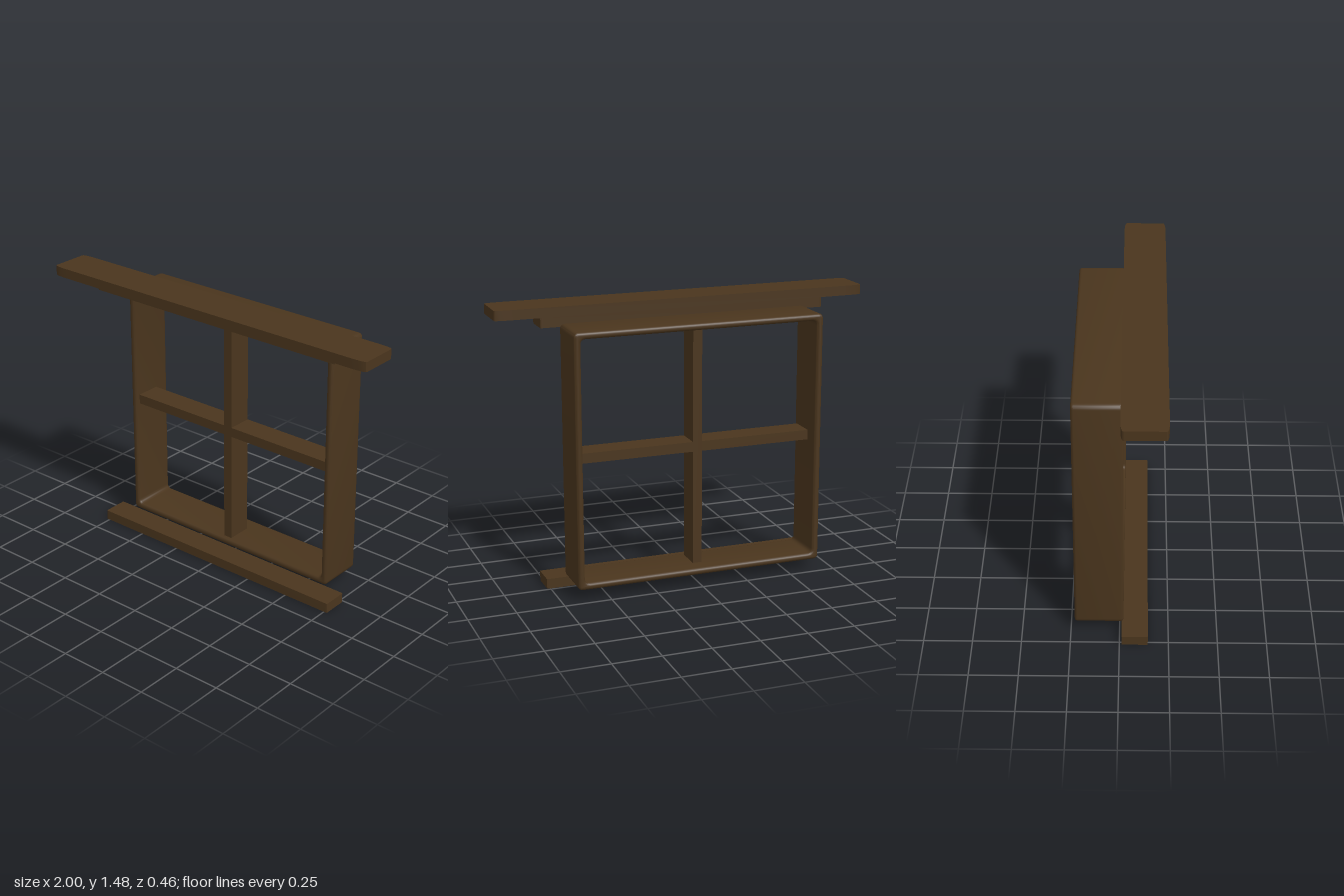
import * as THREE from 'three';
import { toCreasedNormals } from 'three/addons/utils/BufferGeometryUtils.js';

const wood = new THREE.MeshStandardMaterial({ color: 0x4a351d });

// Rounded rectangle centred on the origin; corner radii may differ along x and y
function roundedRect(path, w, h, rx, ry = rx) {
  const x = w / 2, y = h / 2;
  path.moveTo(x - rx, -y);
  path.quadraticCurveTo(x, -y, x, -y + ry);
  path.lineTo(x, y - ry);
  path.quadraticCurveTo(x, y, x - rx, y);
  path.lineTo(-x + rx, y);
  path.quadraticCurveTo(-x, y, -x, y - ry);
  path.lineTo(-x, -y + ry);
  path.quadraticCurveTo(-x, -y, -x + rx, -y);
  return path;
}

export function createModel() {
  const model = new THREE.Group();
  const add = (name, geometry) => {
    const mesh = new THREE.Mesh(geometry, wood);
    mesh.name = name;
    model.add(mesh);
  };

  // Plain bar given by its extents
  const bar = (name, x0, x1, y0, y1, z0, z1) => {
    const g = new THREE.BoxGeometry(x1 - x0, y1 - y0, z1 - z0);
    g.translate((x0 + x1) / 2, (y0 + y1) / 2, (z0 + z1) / 2);
    add(name, g);
  };

  // Horizontal board with softened corners in plan
  const board = (name, halfWidth, y0, y1, z0, z1, rx, rz) => {
    const shape = roundedRect(new THREE.Shape(), halfWidth * 2, z1 - z0, rx, rz);
    const g = new THREE.ExtrudeGeometry(shape, { depth: y1 - y0, bevelEnabled: false, curveSegments: 5 });
    g.rotateX(-Math.PI / 2);
    g.translate(0, y0, (z0 + z1) / 2);
    add(name, toCreasedNormals(g, 0.5));
  };

  // Deep window frame with rounded edges inside and out
  const bevel = 0.014, depth = 0.25;
  const outline = roundedRect(new THREE.Shape(), 1.336, 1.335, 0.025);
  outline.holes.push(roundedRect(new THREE.Path(), 1.266, 1.265, 0.025));
  const frame = new THREE.ExtrudeGeometry(outline, {
    depth: depth - 2 * bevel, bevelThickness: bevel, bevelSize: bevel,
    bevelOffset: -bevel, bevelSegments: 3, curveSegments: 4,
  });
  frame.translate(0, 0.7275, -0.23 + bevel);
  add('windowFrame', toCreasedNormals(frame, 0.6));

  // Glazing bars
  const zBack = -0.14, zFront = -0.005;
  bar('mullion', -0.034, 0.015, 0.09, 1.365, zBack, zFront);
  bar('rightCrossbar', -0.638, -0.034, 0.705, 0.757, zBack, zFront);
  bar('leftCrossbar', 0.015, 0.638, 0.705, 0.757, zBack, zFront);

  // Sill, lintel moulding and wide top ledge
  board('sill', 0.768, 0, 0.053, 0.01, 0.145, 0.015, 0.003);
  board('lintel', 0.768, 1.38, 1.432, 0.01, 0.145, 0.015, 0.003);
  board('topLedge', 1, 1.432, 1.483, 0.008, 0.23, 0.09, 0.014);

  return model;
}
